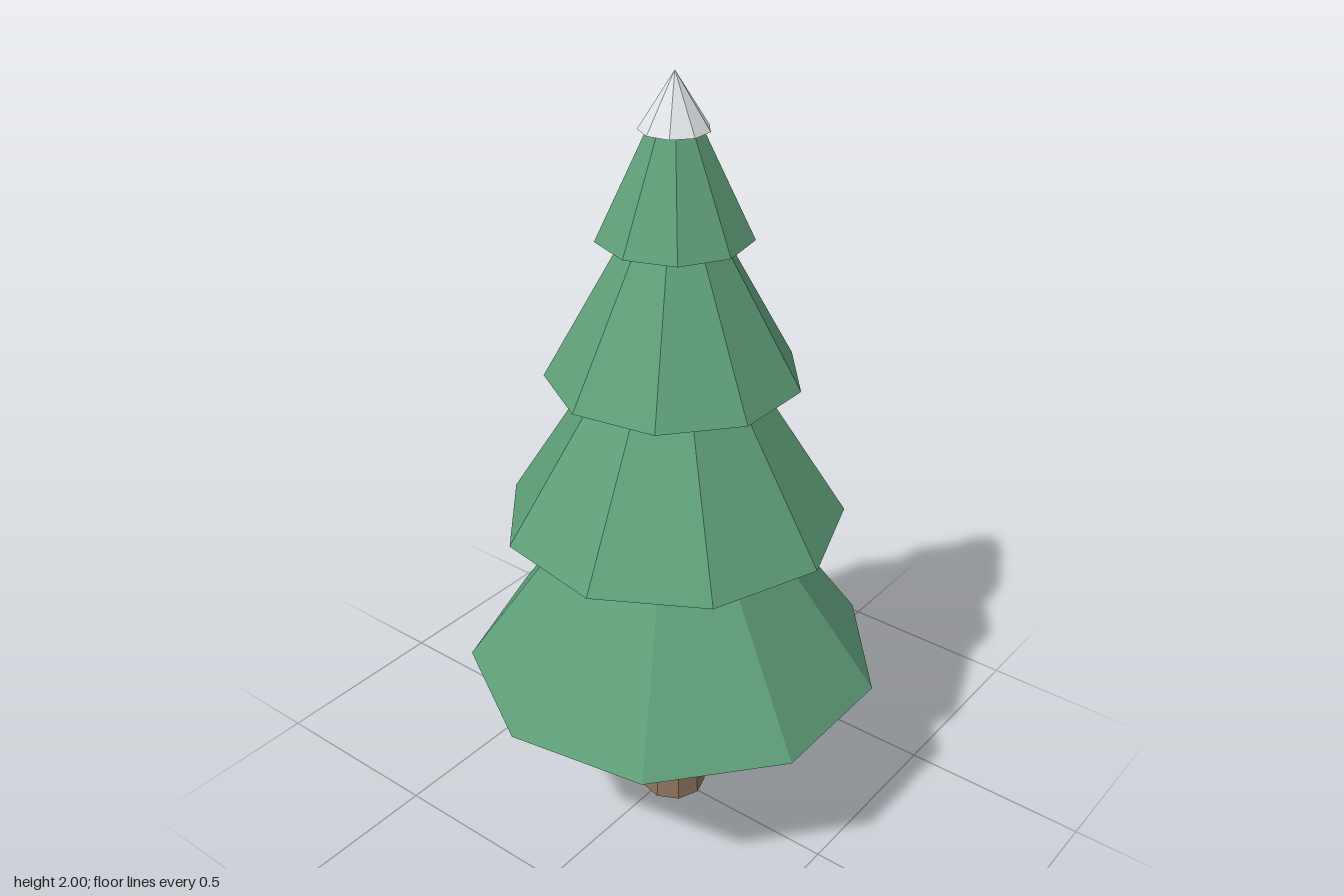
import * as THREE from 'three';

const SIDES = 9;

export function createModel() {
  const tree = new THREE.Group();
  tree.name = 'pineTree';

  const mat = (name, color) => {
    const m = new THREE.MeshStandardMaterial({ color, flatShading: true });
    m.name = name;
    return m;
  };
  const needles = mat('needleGreen', 0x5f9f79);
  const bark = mat('barkBrown', 0x8e745e);
  const snow = mat('snowWhite', 0xe3e7ea);

  // Nine-sided frustum from y0 to y1; turn is the angle of one corner from +z
  const frustum = (name, material, r0, r1, y0, y1, turn) => {
    const geo = r1 > 0
      ? new THREE.CylinderGeometry(r1, r0, y1 - y0, SIDES, 1, false, turn)
      : new THREE.ConeGeometry(r0, y1 - y0, SIDES, 1, false, turn);
    const mesh = new THREE.Mesh(geo, material);
    mesh.name = name;
    mesh.position.set(0, (y0 + y1) / 2, 0.015);
    tree.add(mesh);
  };

  frustum('trunk', bark, 0.088, 0.063, 0, 0.47, -0.05);

  // Branch tiers: bottom radius, top radius, bottom y, top y, turn
  [
    [0.536, 0.217, 0.45, 0.90, Math.PI],
    [0.431, 0.175, 0.88, 1.29, 0],
    [0.312, 0.105, 1.27, 1.64, Math.PI],
    [0.186, 0.060, 1.62, 1.88, -Math.PI / 2],
  ].forEach((t, i) => frustum(`branchTier${i + 1}`, needles, ...t));

  frustum('snowCap', snow, 0.083, 0, 1.87, 2, Math.PI);

  return tree;
}
